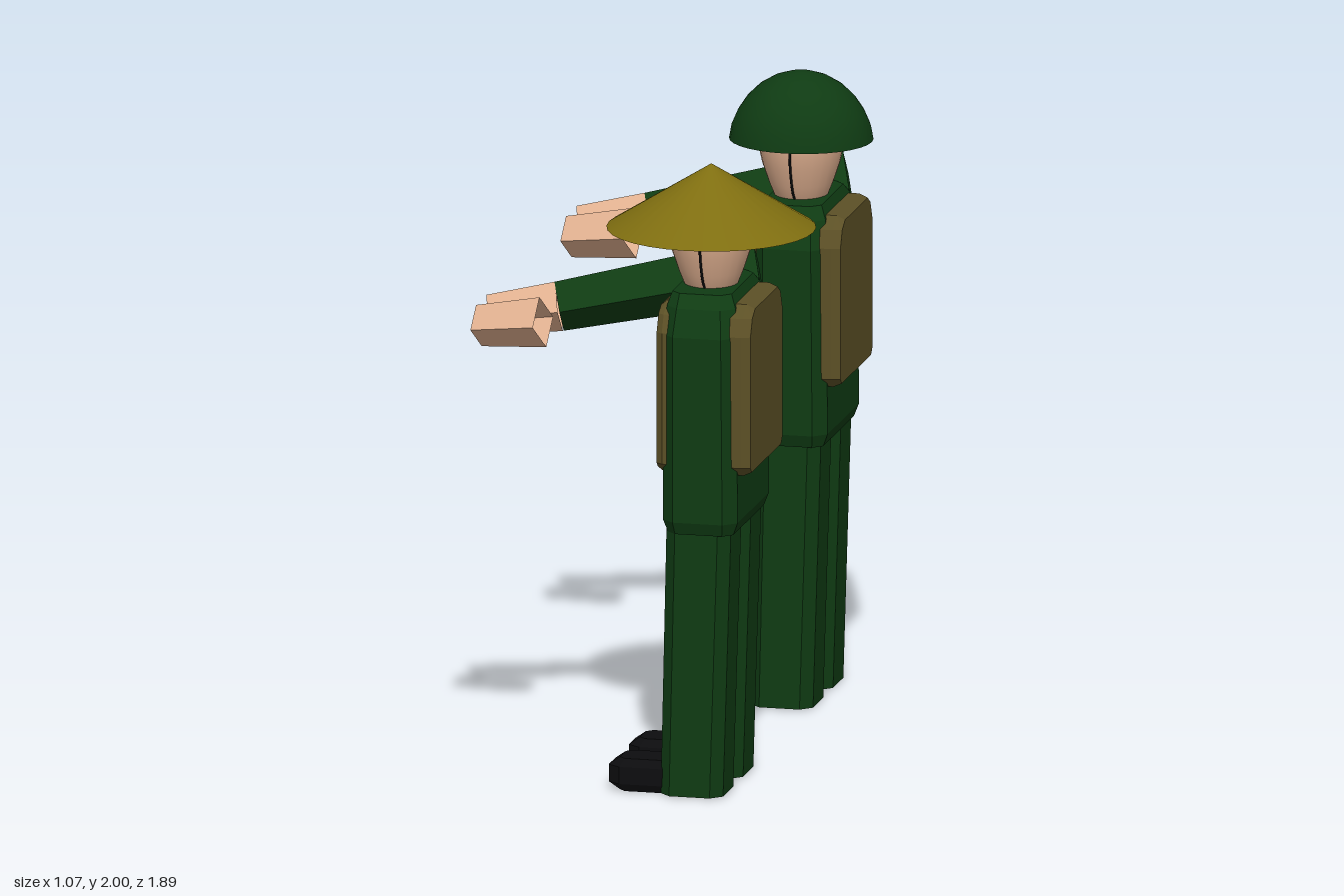
import * as THREE from 'three';
import { ConvexGeometry } from 'three/addons/geometries/ConvexGeometry.js';

const V = (x, y, z) => new THREE.Vector3(x, y, z);

function material(name, color) {
  const m = new THREE.MeshStandardMaterial({ color, side: THREE.DoubleSide });
  m.name = name;
  return m;
}

const uniform = material('uniform green', 0x0f3b13);
const skin = material('skin', 0xe0b090);
const canvas = material('pack canvas', 0x5c5026);
const straw = material('straw', 0x7f6e10);
const black = material('black', 0x0d0d0f);

function part(group, name, geometry, mat) {
  const mesh = new THREE.Mesh(geometry, mat);
  mesh.name = name;
  group.add(mesh);
  return mesh;
}

// Rectangle with cut corners at height y: cx, cz cut sizes
function ring(y, x0, x1, z0, z1, cx, cz = cx) {
  return [
    V(x0 + cx, y, z0), V(x1 - cx, y, z0), V(x1, y, z0 + cz), V(x1, y, z1 - cz),
    V(x1 - cx, y, z1), V(x0 + cx, y, z1), V(x0, y, z1 - cz), V(x0, y, z0 + cz),
  ];
}
const hull = (...rings) => new ConvexGeometry(rings.flat());

// Open four-sided limb with a diamond section between two points
function diamondLimb(a, b, ra, rb, capStart, capEnd) {
  const dir = b.clone().sub(a).normalize();
  const up = V(0, 1, 0).addScaledVector(dir, -dir.y).normalize();
  const side = dir.clone().cross(up);
  const corner = (c, r, i) => c.clone()
    .addScaledVector(up, r * Math.cos(i * Math.PI / 2))
    .addScaledVector(side, r * Math.sin(i * Math.PI / 2));
  const pts = [];
  for (let i = 0; i < 4; i++) {
    const a0 = corner(a, ra, i), a1 = corner(a, ra, i + 1);
    const b0 = corner(b, rb, i), b1 = corner(b, rb, i + 1);
    pts.push(a0, b1, b0, a0, a1, b1);
    if (capStart) pts.push(a, a1, a0);
    if (capEnd) pts.push(b, b0, b1);
  }
  const g = new THREE.BufferGeometry().setFromPoints(pts);
  g.computeVertexNormals();
  return g;
}

// One figure facing -x, standing on the local origin line z = 0
function createFigure(name, addHat) {
  const g = new THREE.Group();
  g.name = name;

  // Torso with sloping shoulders
  part(g, 'torso', hull(
    ring(0.85, 0.11, 0.32, -0.235, 0.235, 0.03),
    ring(0.89, 0.095, 0.335, -0.25, 0.25, 0.04),
    ring(1.485, 0.095, 0.33, -0.25, 0.25, 0.04),
    ring(1.57, 0.1, 0.32, -0.215, 0.215, 0.04),
    ring(1.61, 0.11, 0.3, -0.175, 0.175, 0.03),
  ), uniform);

  // Pack wrapping chest and back, with bevelled rims
  const packRing = (x, inset) => [
    [1.04 + inset, 0.195], [1.07, 0.225 - inset], [1.49, 0.225 - inset],
    [1.545, 0.2 - inset], [1.58 - inset, 0.15],
  ].flatMap(([y, z]) => [V(x, y, z), V(x, y, -z)]);
  part(g, 'pack', hull(packRing(0.075, 0.015), packRing(0.095, 0),
    packRing(0.35, 0), packRing(0.377, 0.012)), canvas);

  // Legs and shoes
  for (const [side, z] of [['left', 0.14], ['right', -0.127]]) {
    part(g, side + 'Leg', hull(
      ring(0.008, 0.088, 0.288, z - 0.104, z + 0.104, 0.035),
      ring(0.87, 0.103, 0.31, z - 0.119, z + 0.089, 0.035),
    ), uniform);
    const s = 0.073;
    part(g, side + 'Shoe', hull(
      ring(0.005, -0.05, 0.2, z - s + 0.015, z + s - 0.015, 0.02),
      ring(0.03, -0.085, 0.2, z - s, z + s, 0.04, 0.03),
      ring(0.085, -0.085, 0.2, z - s, z + s, 0.04, 0.03),
      ring(0.11, -0.05, 0.2, z - s + 0.015, z + s - 0.015, 0.02),
    ), black);
  }

  // Sleeved right arm, and both forward hands
  const wrist = V(-0.315, 1.475, -0.108), tip = V(-0.53, 1.443, -0.07);
  part(g, 'rightSleeve', diamondLimb(V(0.29, 1.59, -0.26), wrist, 0.1, 0.08, true, false), uniform);
  part(g, 'rightHand', diamondLimb(wrist, tip, 0.08, 0.066, false, true), skin);
  const flip = V(1, 1, -1);
  part(g, 'leftHand', diamondLimb(wrist.clone().multiply(flip), tip.clone().multiply(flip),
    0.08, 0.066, false, true), skin);

  // Head: egg profile narrowing to the chin
  const profile = [[0, 1.55], [0.06, 1.56], [0.088, 1.6], [0.11, 1.65], [0.132, 1.71],
    [0.144, 1.76], [0.147, 1.79], [0.135, 1.84], [0.09, 1.89], [0, 1.91]];
  const head = part(g, 'head', new THREE.LatheGeometry(
    profile.map(([r, y]) => new THREE.Vector2(r, y)), 24), skin);
  head.position.x = 0.2;
  head.scale.x = 0.92;

  // Chin strap
  const strap = new THREE.CatmullRomCurve3([
    V(0.2, 1.79, 0.16), V(0.2, 1.7, 0.143), V(0.2, 1.62, 0.1), V(0.2, 1.57, 0),
    V(0.2, 1.62, -0.1), V(0.2, 1.7, -0.143), V(0.2, 1.79, -0.16)]);
  part(g, 'chinStrap', new THREE.TubeGeometry(strap, 32, 0.004, 6), black);

  addHat(g);
  return g;
}

// Wide conical hat
function strawHat(g) {
  part(g, 'strawHat', new THREE.ConeGeometry(0.328, 0.204, 32, 1, true), straw)
    .position.set(0.2, 1.888, 0);
}

// Domed helmet, slightly longer front to back
function helmet(g) {
  const profile = [[0.21, 0], [0.202, 0.045], [0.184, 0.09], [0.158, 0.132],
    [0.122, 0.17], [0.08, 0.197], [0.04, 0.211], [0, 0.215]];
  const dome = part(g, 'helmet', new THREE.LatheGeometry(
    profile.map(([r, y]) => new THREE.Vector2(r, y)), 32), uniform);
  dome.position.set(0.2, 1.785, 0);
  dome.scale.x = 1.08;
}

export function createModel() {
  const model = new THREE.Group();
  model.name = 'twoMarchingFigures';
  const first = createFigure('figureWithStrawHat', strawHat);
  first.position.z = 0.615;
  const second = createFigure('figureWithHelmet', helmet);
  second.position.z = -0.586;
  model.add(first, second);
  return model;
}
